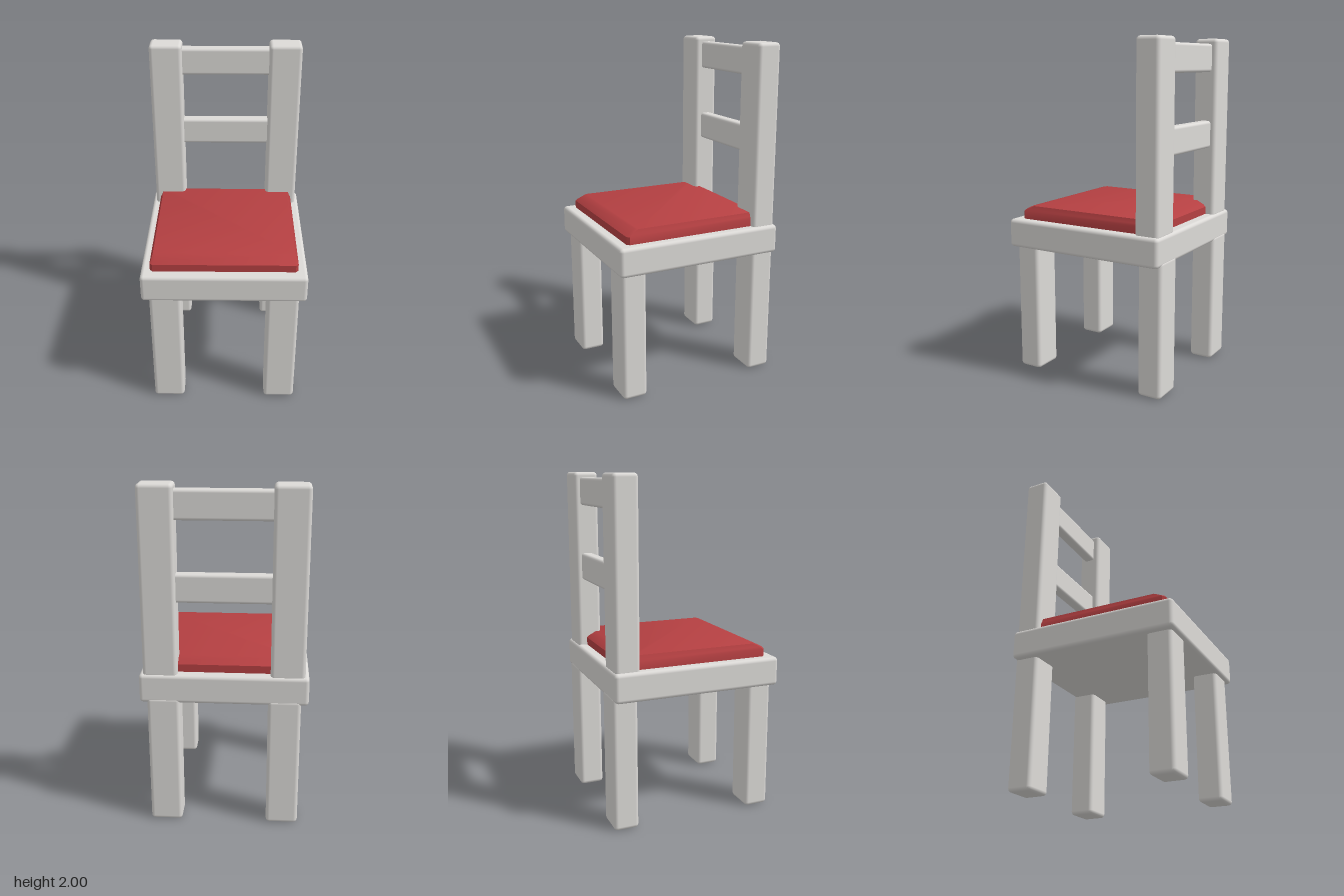
import * as THREE from 'three';
import { RoundedBoxGeometry } from 'three/addons/geometries/RoundedBoxGeometry.js';
import { toCreasedNormals } from 'three/addons/utils/BufferGeometryUtils.js';

// Lofted pad: chamfered rectangles [halfWidth, halfDepth, y] stacked upward, with a cap at each end
function padGeometry(rings, cut) {
  const pos = [], index = [];
  for (const [w, d, y] of rings) {
    const corners = [[w, d - cut], [w - cut, d], [-w + cut, d], [-w, d - cut],
      [-w, -d + cut], [-w + cut, -d], [w - cut, -d], [w, -d + cut]];
    for (const [x, z] of corners) pos.push(x, y, z);
  }
  const n = 8, last = (rings.length - 1) * n;
  for (let r = 0; r < rings.length - 1; r++) {
    for (let i = 0; i < n; i++) {
      const a = r * n + i, b = r * n + (i + 1) % n;
      index.push(a, a + n, b, b, a + n, b + n);
    }
  }
  for (let i = 1; i < n - 1; i++) {
    index.push(last, last + i + 1, last + i);
    index.push(0, i, i + 1);
  }
  const g = new THREE.BufferGeometry();
  g.setAttribute('position', new THREE.Float32BufferAttribute(pos, 3));
  g.setIndex(index);
  g.computeVertexNormals();
  return toCreasedNormals(g, 0.6);
}

export function createModel() {
  const model = new THREE.Group();
  model.name = 'chair';
  const frame = new THREE.MeshStandardMaterial({ color: 0xdcdad7 });
  frame.name = 'pale grey wood';
  const fabric = new THREE.MeshStandardMaterial({ color: 0xb54042 });
  fabric.name = 'red fabric';

  // Soft-edged bar given by its minimum and maximum on each axis
  function bar(name, [x0, x1], [y0, y1], [z0, z1], radius) {
    const g = new RoundedBoxGeometry(x1 - x0, y1 - y0, z1 - z0, 2, radius);
    const mesh = new THREE.Mesh(g, frame);
    mesh.name = name;
    mesh.position.set((x0 + x1) / 2, (y0 + y1) / 2, (z0 + z1) / 2);
    model.add(mesh);
  }

  // Seat slab
  bar('seat', [-0.48, 0.48], [0.77, 0.94], [-0.505, 0.505], 0.022);

  // Legs and back posts, mirrored left and right
  for (const [side, s] of [['left', 1], ['right', -1]]) {
    const span = (a, b) => (s > 0 ? [a, b] : [-b, -a]);
    bar(side + 'FrontLeg', span(0.25, 0.437), [0, 0.8], [0.333, 0.48], 0.022);
    bar(side + 'BackLeg', span(0.25, 0.437), [0, 0.8], [-0.507, -0.36], 0.022);
    bar(side + 'BackPost', span(0.262, 0.457), [0.92, 2], [-0.494, -0.35], 0.022);
  }

  // Back rails
  bar('upperRail', [-0.3, 0.3], [1.805, 1.97], [-0.462, -0.39], 0.018);
  bar('lowerRail', [-0.3, 0.3], [1.352, 1.515], [-0.462, -0.39], 0.018);

  // Seat cushion
  const cushion = new THREE.Mesh(padGeometry([
    [0.426, 0.442, 0.93], [0.426, 0.442, 0.985], [0.418, 0.428, 0.998], [0.41, 0.385, 1.02],
  ], 0.015), fabric);
  cushion.name = 'cushion';
  model.add(cushion);

  return model;
}
